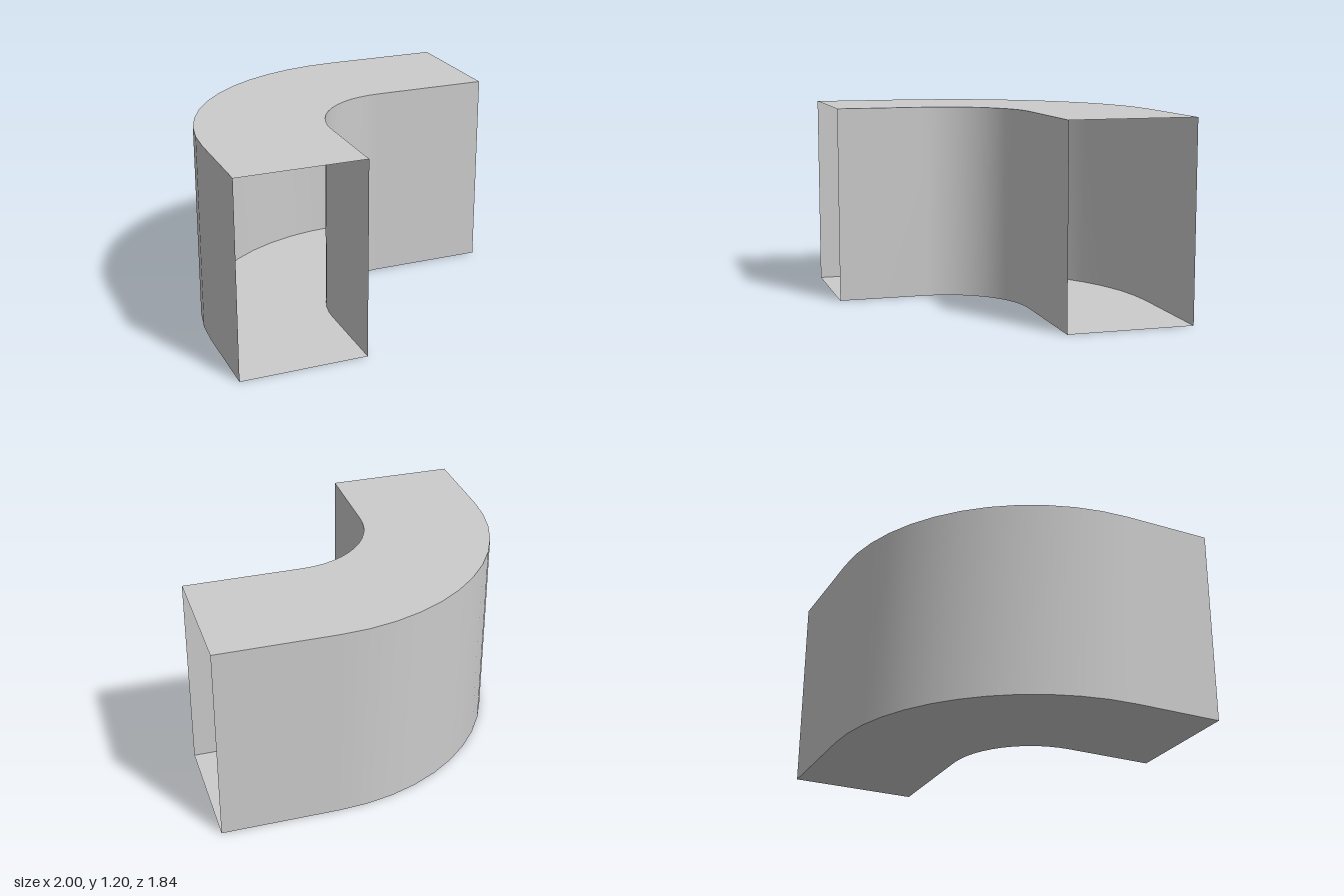
import * as THREE from 'three';

const HEIGHT = 1.2;
const BEND = { x: 0.29, z: 0.37 };          // centre of the quarter bend
const OUTER_RADIUS = 1.29, INNER_RADIUS = 0.52;
const END_X = 1, END_Z = 0.915;             // open ends of the two legs
const SEGMENTS = 12;

// Plan outline of one side wall as (x, z): front leg, quarter bend, side leg
function wallPath(radius) {
  const points = [new THREE.Vector2(BEND.x - radius, END_Z)];
  for (let i = 0; i <= SEGMENTS; i++) {
    const a = (i / SEGMENTS) * Math.PI / 2;
    points.push(new THREE.Vector2(BEND.x - radius * Math.cos(a), BEND.z - radius * Math.sin(a)));
  }
  points.push(new THREE.Vector2(END_X, BEND.z - radius));
  return points;
}

// Upright strip following a plan path
function wallGeometry(path) {
  const geometry = new THREE.PlaneGeometry(1, 1, path.length - 1, 1);
  const pos = geometry.attributes.position;
  for (let i = 0; i < pos.count; i++) {
    const p = path[i % path.length];
    pos.setXYZ(i, p.x, i < path.length ? HEIGHT : 0, p.y);
  }
  geometry.computeVertexNormals();
  return geometry;
}

export function createModel() {
  const group = new THREE.Group();
  group.name = 'ductElbow';
  const material = new THREE.MeshStandardMaterial({ color: 0xcccccc, side: THREE.DoubleSide });
  const add = (name, geometry) => {
    const mesh = new THREE.Mesh(geometry, material);
    mesh.name = name;
    group.add(mesh);
  };

  const inner = wallPath(INNER_RADIUS);
  const outer = wallPath(OUTER_RADIUS).reverse();

  // Curved side walls, facing outwards
  add('innerWall', wallGeometry(inner));
  add('outerWall', wallGeometry(outer));

  // Flat top and bottom sheets; both leg ends stay open
  const outline = [...inner, ...outer];
  const topShape = new THREE.Shape(outline.map(p => new THREE.Vector2(p.x, -p.y)));
  const bottomShape = new THREE.Shape(outline);
  add('topPanel', new THREE.ShapeGeometry(topShape).rotateX(-Math.PI / 2).translate(0, HEIGHT, 0));
  add('bottomPanel', new THREE.ShapeGeometry(bottomShape).rotateX(Math.PI / 2));

  return group;
}
